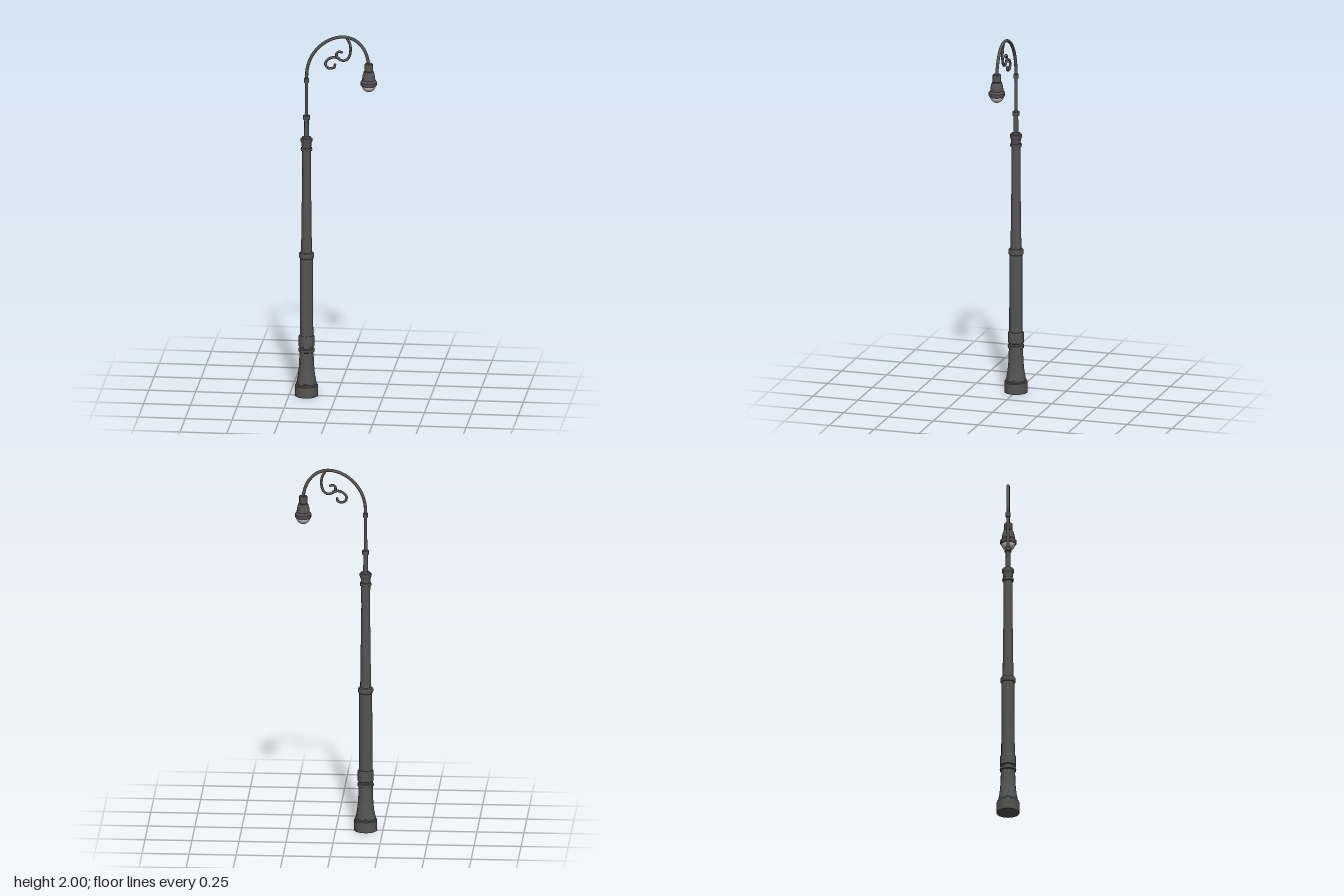
import * as THREE from 'three';
import { toCreasedNormals } from 'three/addons/utils/BufferGeometryUtils.js';

const iron = new THREE.MeshStandardMaterial({ color: 0x555555 });
iron.name = 'dark iron';
const glass = new THREE.MeshStandardMaterial({ color: 0xd4d4d4 });
glass.name = 'pale glass';

const POLE_X = -0.158, LAMP_X = 0.174;

export function createModel() {
  const model = new THREE.Group();
  model.name = 'streetLamp';

  const add = (name, geometry, material, x = 0) => {
    const mesh = new THREE.Mesh(geometry, material);
    mesh.name = name;
    mesh.position.x = x;
    model.add(mesh);
  };
  // Turned part from [radius, height] pairs listed bottom to top
  const turned = (name, profile, x, material = iron, crease = 0.5) => {
    const points = profile.map(([r, y]) => new THREE.Vector2(r, y));
    add(name, toCreasedNormals(new THREE.LatheGeometry(points, 32), crease), material, x);
  };
  // Bent rod in the z = 0 plane with rounded ends
  const rod = (name, path, radius, segments) => {
    const points = path.map(([x, y]) => new THREE.Vector3(x, y, 0));
    const curve = new THREE.CatmullRomCurve3(points, false, 'centripetal');
    add(name, new THREE.TubeGeometry(curve, segments, radius, 12), iron);
    for (const p of [points[0], points[points.length - 1]]) {
      const cap = new THREE.SphereGeometry(radius, 12, 8);
      cap.translate(p.x, p.y, 0);
      add(name + 'End', cap, iron);
    }
  };

  // Pole, from the foot up
  turned('base', [[0, 0], [0.061, 0], [0.061, 0.058], [0.056, 0.062], [0.056, 0.07], [0.052, 0.075],
    [0.051, 0.085], [0.046, 0.11], [0.042, 0.145], [0.039, 0.19], [0.038, 0.245]], POLE_X);
  turned('baseRing', [[0.037, 0.243], [0.043, 0.246], [0.044, 0.253], [0.043, 0.26], [0.038, 0.264],
    [0.038, 0.272], [0.042, 0.275], [0.042, 0.328], [0.039, 0.333], [0.036, 0.334]], POLE_X);
  turned('lowerColumn', [[0.036, 0.33], [0.035, 0.76], [0.039, 0.764], [0.041, 0.772], [0.041, 0.784],
    [0.038, 0.79], [0.029, 0.794]], POLE_X);
  turned('upperColumn', [[0.029, 0.79], [0.023, 1.25], [0.025, 1.355]], POLE_X);
  turned('capital', [[0.024, 1.354], [0.03, 1.357], [0.031, 1.365], [0.029, 1.373], [0.025, 1.376],
    [0.026, 1.395], [0.031, 1.408], [0.033, 1.415], [0.032, 1.423], [0.026, 1.426], [0.024, 1.432],
    [0.013, 1.436]], POLE_X);
  turned('stem', [[0.013, 1.43], [0.012, 1.528], [0.019, 1.53], [0.019, 1.55], [0.009, 1.553],
    [0.008, 1.732], [0.013, 1.734], [0.013, 1.757], [0.008, 1.76]], POLE_X);

  // Curved arm and scroll ornament
  rod('arm', [[POLE_X, 1.75], [-0.154, 1.81], [-0.13, 1.88], [-0.077, 1.945], [-0.013, 1.982],
    [0.05, 1.991], [0.104, 1.973], [0.145, 1.932], [0.167, 1.88], [LAMP_X, 1.84]], 0.0085, 72);
  rod('scrollStem', [[0.055, 1.988], [0.073, 1.955], [0.077, 1.915], [0.068, 1.88], [0.046, 1.861],
    [0.02, 1.866], [0.003, 1.884], [0.004, 1.901], [0.018, 1.91], [0.03, 1.906]], 0.007, 48);
  rod('scrollCurl', [[0.014, 1.872], [-0.01, 1.878], [-0.04, 1.867], [-0.057, 1.843], [-0.05, 1.823],
    [-0.03, 1.815], [-0.009, 1.823], [-0.006, 1.836]], 0.007, 40);

  // Lamp head
  turned('lampHood', [[0, 1.735], [0.038, 1.732], [0.038, 1.724], [0.042, 1.729], [0.044, 1.735],
    [0.044, 1.747], [0.039, 1.754], [0.035, 1.758], [0.034, 1.772], [0.031, 1.789], [0.026, 1.804],
    [0.019, 1.806]], LAMP_X);
  turned('lampSocket', [[0.019, 1.804], [0.022, 1.808], [0.022, 1.845], [0.02, 1.848], [0, 1.848]], LAMP_X);
  const bowl = Array.from({ length: 11 }, (_, i) => {
    const a = (i / 10) * Math.PI / 2;
    return [0.037 * Math.sin(a), 1.73 - 0.038 * Math.cos(a)];
  });
  turned('glassBowl', bowl, LAMP_X, glass, 1);

  return model;
}
